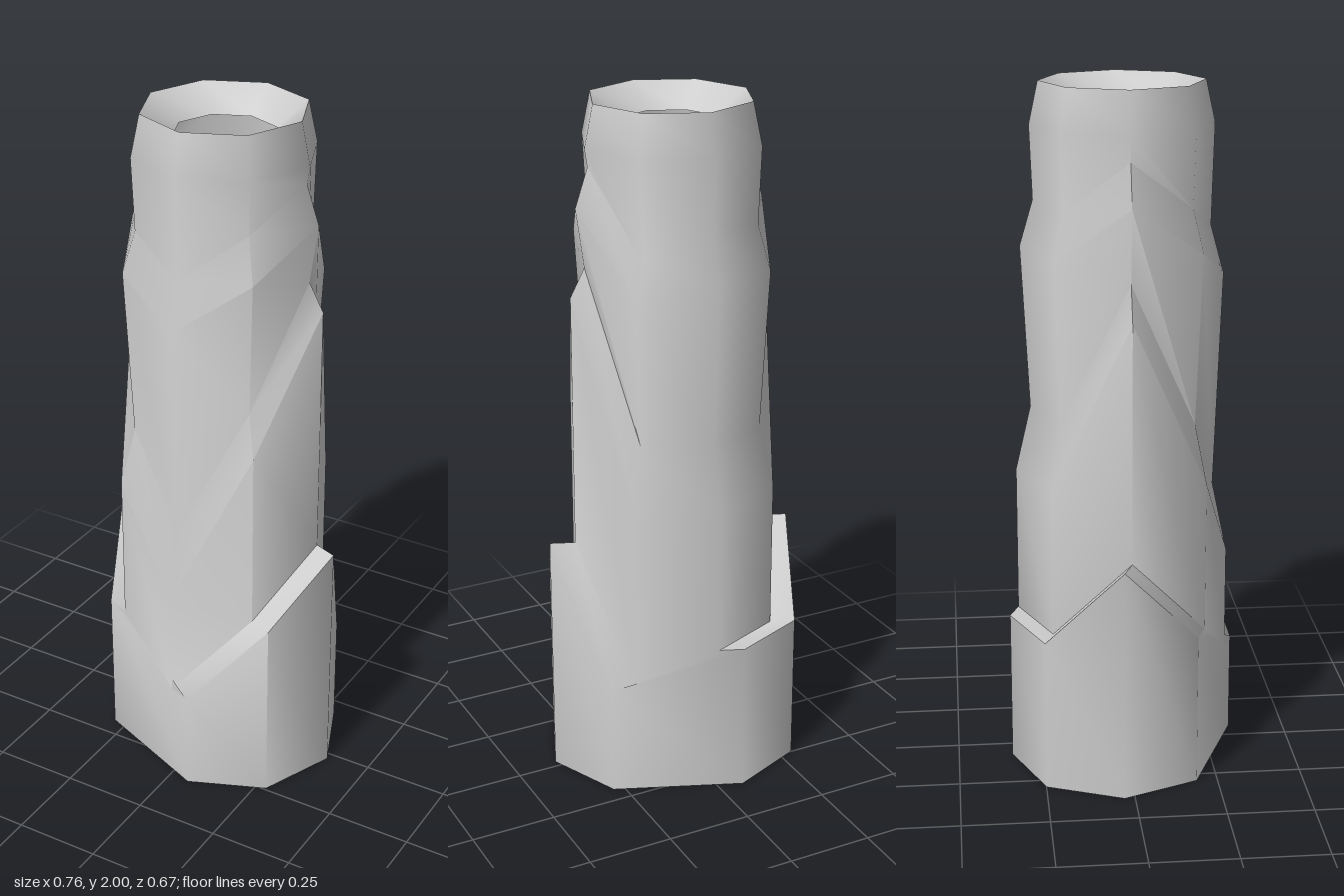
import * as THREE from 'three';
import { toCreasedNormals } from 'three/addons/utils/BufferGeometryUtils.js';

const SIDES = 8;
const material = new THREE.MeshStandardMaterial({ color: 0xcccccc, side: THREE.DoubleSide });

// Octagonal ring; y is one height or one per corner (starting at +x, turning to +z).
// shear slides the two halves apart so each overlaps the other like a wrapped sheet.
function ring(r, y, shear = 0) {
  return Array.from({ length: SIDES }, (_, k) => {
    const a = (k / SIDES) * Math.PI * 2;
    const half = k === 7 || k < 3 ? 1 : -1;
    return [
      r * Math.cos(a) + half * 0.068 * shear - 0.005,
      Array.isArray(y) ? y[k] : y,
      r * Math.sin(a) + half * 0.027 * shear - 0.003,
    ];
  });
}

// Skin joining successive rings, with sharp edges kept at steep folds
function skin(name, rings) {
  const index = [];
  for (let i = 0; i < rings.length - 1; i++) {
    for (let k = 0; k < SIDES; k++) {
      const n = (k + 1) % SIDES;
      const a = i * SIDES + k, b = i * SIDES + n;
      const c = b + SIDES, d = a + SIDES;
      index.push(a, d, c, a, c, b);
    }
  }
  const geometry = new THREE.BufferGeometry();
  geometry.setAttribute('position', new THREE.Float32BufferAttribute(rings.flat(2), 3));
  geometry.setIndex(index);
  const mesh = new THREE.Mesh(toCreasedNormals(geometry, 0.95), material);
  mesh.name = name;
  return mesh;
}

export function createModel() {
  const group = new THREE.Group();
  group.name = 'wrappedTower';

  // Jagged top edges of the sleeves, corner by corner
  const baseTop = [0.73, 0.56, 0.3, 0.45, 0.69, 0.45, 0.45, 0.33];
  const middleTop = [1.47, 1.09, 0.61, 0.89, 1.38, 0.88, 0.88, 0.88];
  const middleLedge = [1.55, 1.21, 0.82, 1.06, 1.48, 1.07, 1.07, 1.07];
  const upperTop = [1.72, 1.6, 1.45, 1.55, 1.69, 1.53, 1.54, 1.5];
  const upperLedge = [1.83, 1.73, 1.59, 1.67, 1.81, 1.66, 1.67, 1.61];

  // Outer wall: base sleeve, middle sleeve, upper sleeve, collar
  group.add(skin('towerWall', [
    ring(0.31, 0, 1),
    ring(0.31, baseTop, 1),
    ring(0.31, baseTop),
    ring(0.31, middleTop),
    ring(0.266, middleLedge),
    ring(0.29, upperTop),
    ring(0.252, upperLedge),
    ring(0.26, 1.88),
    ring(0.234, 2),
  ]));

  // Funnel sloping in from the rim to the open hole
  group.add(skin('rimFunnel', [ring(0.234, 2), ring(0.145, 1.93)]));
  return group;
}
